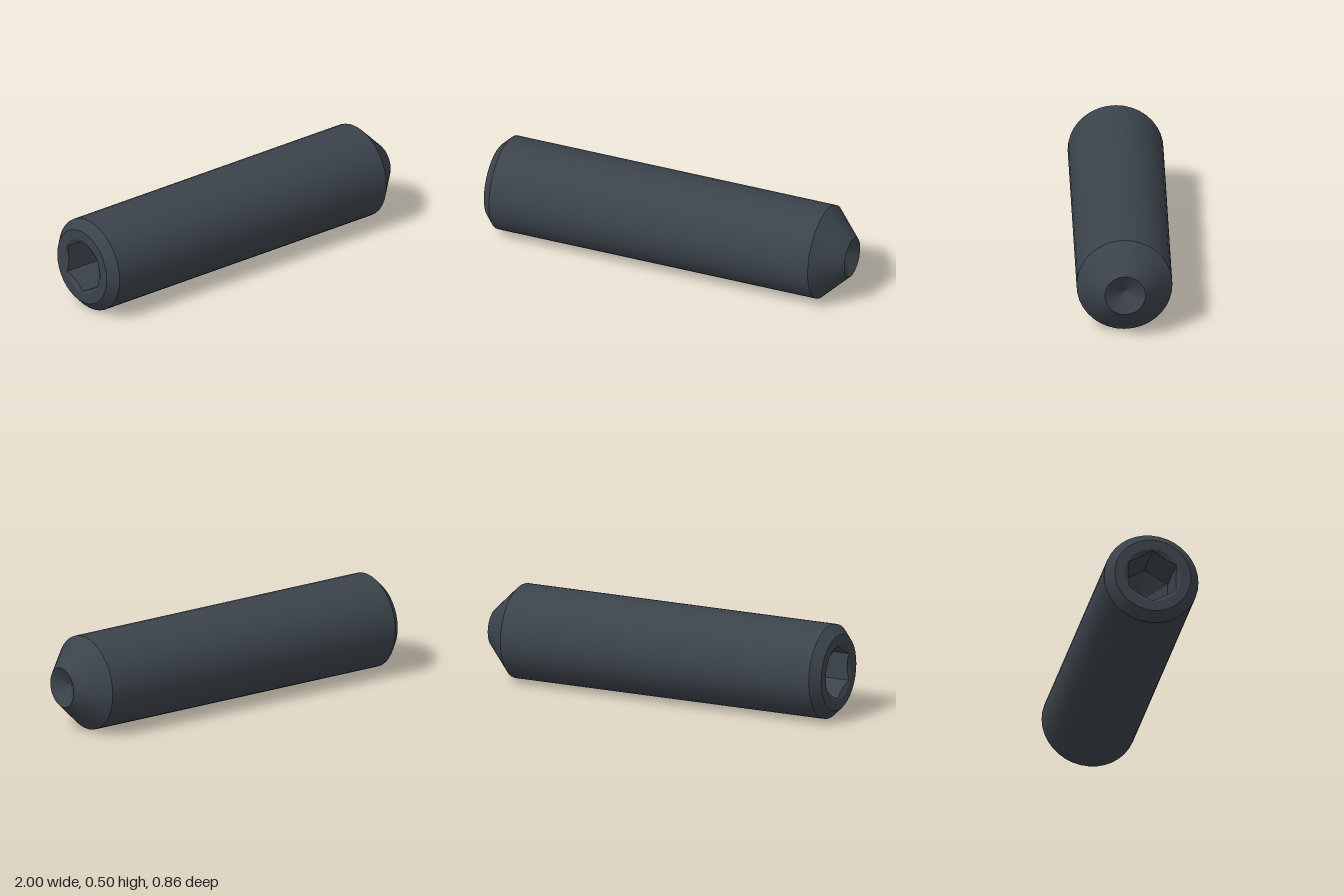
import * as THREE from 'three';

const SEG = 36;        // sides around the axis
const R = 0.2475;      // body radius
const HEAD = -0.979;   // socket end along the axis
const TIP = 1.0;       // cup end along the axis
const RIM = 0.148;     // socket countersink radius
const FLAT = 0.1235;   // socket half width across flats

// Hexagonal socket: a lathe whose rows are pulled onto a hexagon
function socketGeometry() {
  const geo = new THREE.LatheGeometry(
    [[0, 0], [1, 0], [1, 1], [1, 2]].map(([x, y]) => new THREE.Vector2(x, y)), SEG);
  const pos = geo.attributes.position;
  const step = Math.PI / 3;
  for (let i = 0; i <= SEG; i++) {
    const phi = (i / SEG) * Math.PI * 2;
    const hex = FLAT / Math.cos(phi - step * Math.round(phi / step));
    const rows = [
      [0, HEAD + 0.32],                    // drill point
      [hex, HEAD + 0.25],                  // floor edge
      [hex, HEAD + (RIM - hex) * 0.58],    // scalloped top of the walls
      [RIM, HEAD],                         // countersink rim
    ];
    rows.forEach(([r, y], j) =>
      pos.setXYZ(i * 4 + j, r * Math.sin(phi), y, r * Math.cos(phi)));
  }
  const flat = geo.toNonIndexed();
  flat.computeVertexNormals();
  return flat;
}

export function createModel() {
  const steel = new THREE.MeshStandardMaterial({ color: 0x3b434b });
  steel.name = 'blackened steel';

  const screw = new THREE.Group();
  screw.name = 'setScrew';
  const add = (name, geometry) => {
    const mesh = new THREE.Mesh(geometry, steel);
    mesh.name = name;
    screw.add(mesh);
  };

  // Each band is its own lathe so the edges between bands stay sharp
  const bands = [
    ['socketEndFace', [RIM, HEAD], [0.2, HEAD]],
    ['socketEndChamfer', [0.2, HEAD], [R, -0.931]],
    ['body', [R, -0.931], [R, 0.854]],
    ['pointCone', [R, 0.854], [0.105, TIP]],
    ['cupRecess', [0.105, TIP], [0, TIP - 0.061]],
  ];
  for (const [name, a, b] of bands) {
    add(name, new THREE.LatheGeometry(
      [new THREE.Vector2(...a), new THREE.Vector2(...b)], SEG));
  }
  add('hexSocket', socketGeometry());

  // Lay the screw down, then swing it about the vertical
  screw.rotation.z = -Math.PI / 2;
  const model = new THREE.Group();
  model.name = 'model';
  model.add(screw);
  model.rotation.y = THREE.MathUtils.degToRad(-12);
  model.position.set(0, R, 0.003);

  const root = new THREE.Group();
  root.add(model);
  return root;
}
